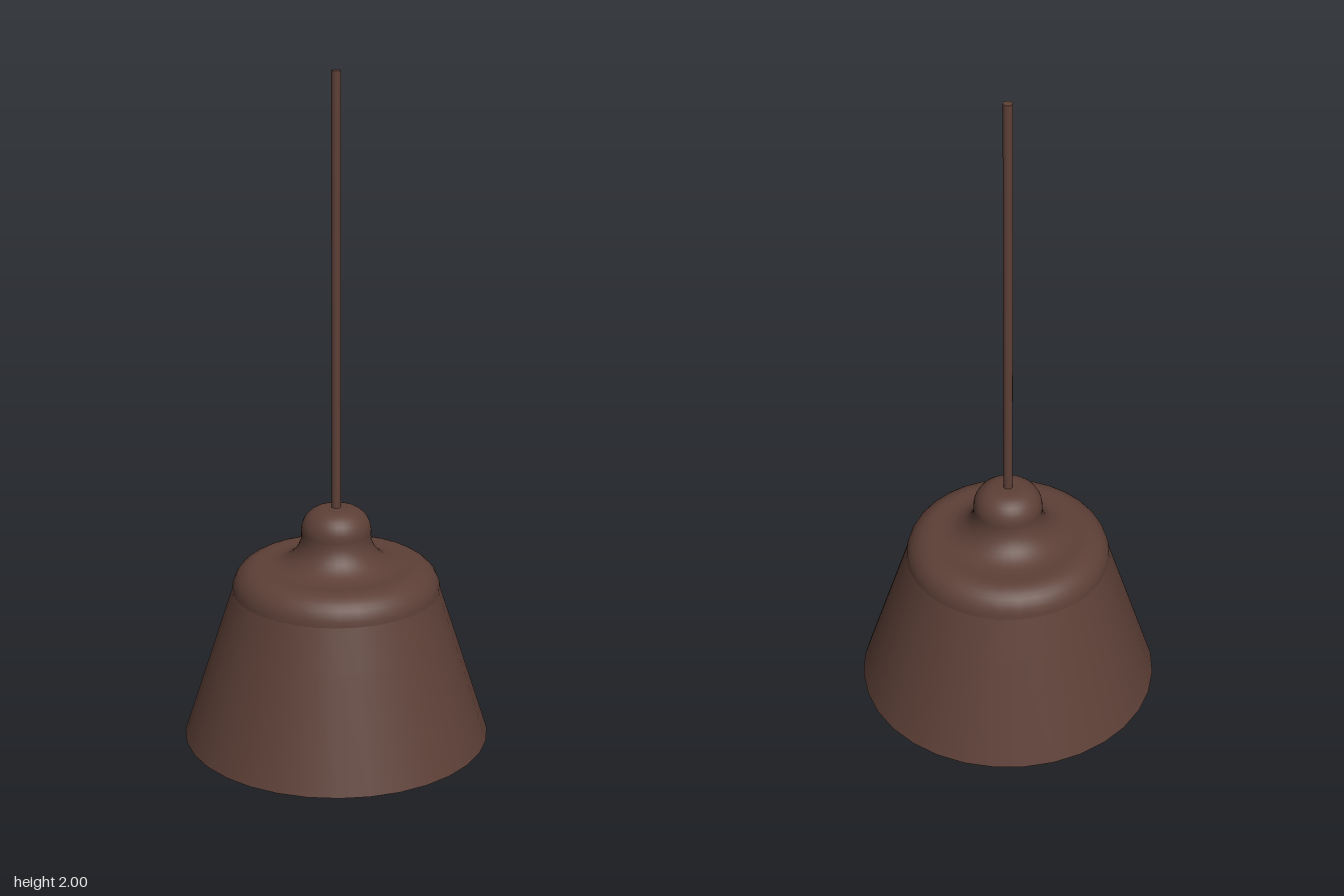
import * as THREE from 'three';

const material = new THREE.MeshStandardMaterial({ color: 0x5d4037, side: THREE.DoubleSide });
const SIDES = 32;

// Quarter-round profile points around a centre, between two angles in degrees
function arc(cx, cy, rx, ry, from, to, steps = 8) {
  return Array.from({ length: steps + 1 }, (_, i) => {
    const a = THREE.MathUtils.degToRad(from + ((to - from) * i) / steps);
    return [cx + rx * Math.cos(a), cy + ry * Math.sin(a)];
  });
}

// Turned part from [radius, height] pairs, bottom to top
function turned(name, profile) {
  const points = profile.map(([r, y]) => new THREE.Vector2(Math.max(r, 0), y));
  const mesh = new THREE.Mesh(new THREE.LatheGeometry(points, SIDES), material);
  mesh.name = name;
  return mesh;
}

export function createModel() {
  const lamp = new THREE.Group();
  lamp.name = 'pendantLamp';

  // Open flared shade with a rounded shoulder and flat top
  lamp.add(turned('shadeWall', [[0.458, 0], [0.35, 0.336], [0.31, 0.46]]));
  lamp.add(turned('shadeShoulder', [...arc(0.23, 0.46, 0.08, 0.08, 0, 90), [0.18, 0.54], [0, 0.54]]));

  // Concave collar sweeping up to the cap
  lamp.add(turned('collar', [...arc(0.2, 0.635, 0.097, 0.095, 270, 180, 10)]));

  // Domed cap with a flat underside
  lamp.add(turned('capUnderside', [[0, 0.632], [0.104, 0.632]]));
  lamp.add(turned('cap', [[0.104, 0.632], ...arc(0.034, 0.645, 0.07, 0.07, 0, 90), [0, 0.716]]));

  // Hanging rod
  const rod = new THREE.Mesh(new THREE.CylinderGeometry(0.014, 0.014, 1.3, 16), material);
  rod.name = 'rod';
  rod.position.y = 1.35;
  lamp.add(rod);

  return lamp;
}
